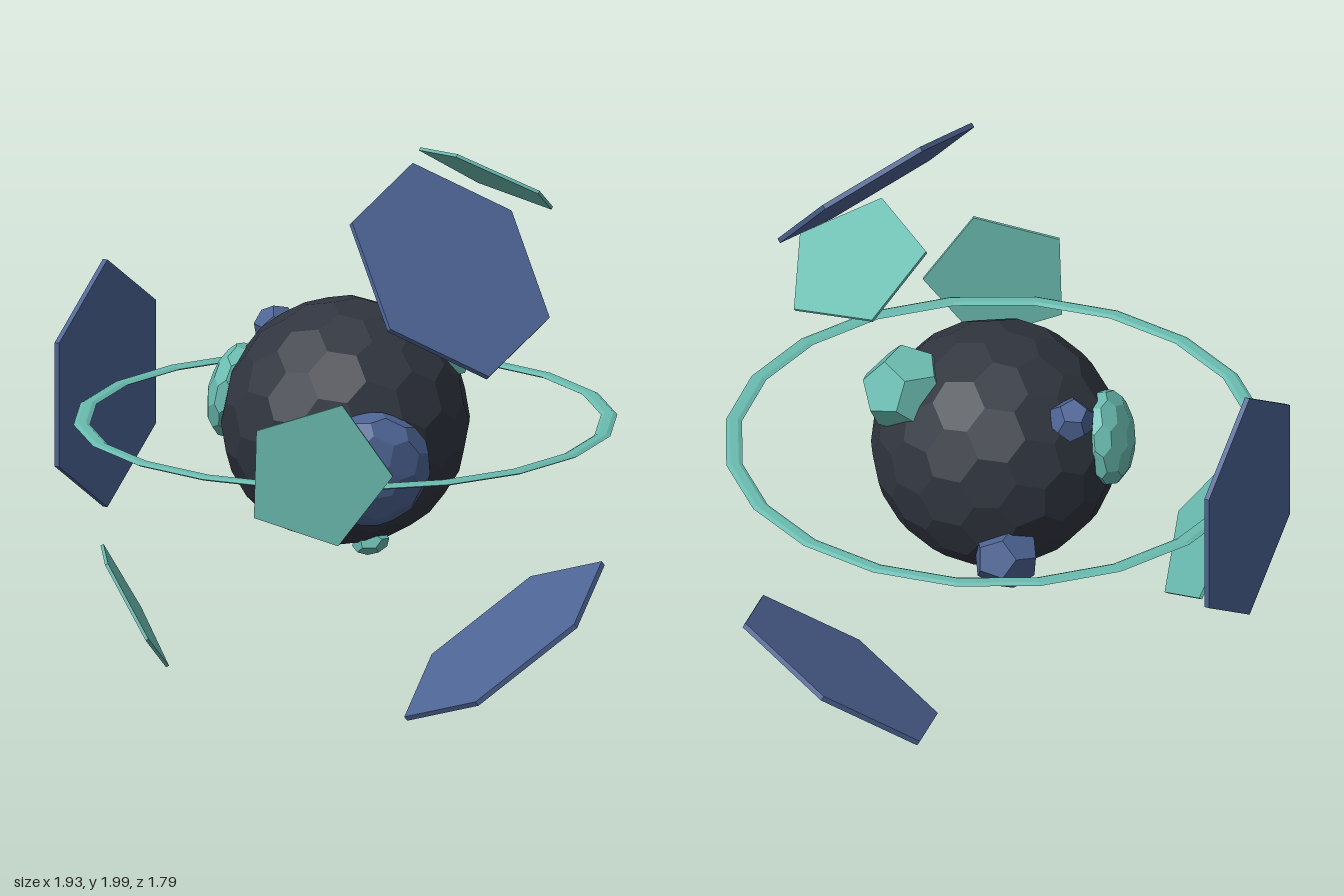
import * as THREE from 'three';
import { ConvexGeometry } from 'three/addons/geometries/ConvexGeometry.js';

const V = (a) => new THREE.Vector3(...a);
const material = (name, color) => {
  const m = new THREE.MeshStandardMaterial({ color, flatShading: true });
  m.name = name;
  return m;
};

// Polyhedron of pentagons and hexagons: the polar dual of a subdivided icosahedron
function facetedBall(radius, detail) {
  const p = new THREE.IcosahedronGeometry(1, detail).getAttribute('position');
  const tri = new THREE.Triangle();
  const points = [];
  for (let i = 0; i < p.count; i += 3) {
    tri.setFromAttributeAndIndices(p, i, i + 1, i + 2);
    const n = tri.getNormal(new THREE.Vector3());
    points.push(n.divideScalar(n.dot(tri.a)));
  }
  const max = Math.max(...points.map((v) => v.length()));
  points.forEach((v) => v.multiplyScalar(radius / max));
  return new ConvexGeometry(points);
}

// Thin polygon plate given by its centre and two neighbouring corners
function plateGeometry(sides, thickness, centre, corner1, corner2) {
  const c = V(centre);
  const angle = (Math.PI * 2) / sides;
  const z = V(corner1).sub(c);
  const x = V(corner2).sub(c).addScaledVector(z, -Math.cos(angle)).divideScalar(Math.sin(angle));
  const y = z.clone().cross(x).normalize();
  const m = new THREE.Matrix4().makeBasis(x, y, z).setPosition(c);
  return new THREE.CylinderGeometry(1, 1, thickness, sides).applyMatrix4(m);
}

export function createModel() {
  const group = new THREE.Group();
  const dark = material('charcoal', 0x30353f);
  const blue = material('slate blue', 0x4d6494);
  const teal = material('teal', 0x6abbb0);
  const centre = V([0.01, 1.04, 0]);

  const add = (name, geometry, mat) => {
    const mesh = new THREE.Mesh(geometry, mat);
    mesh.name = name;
    group.add(mesh);
    return mesh;
  };

  // Core
  add('core', facetedBall(0.41, 2), dark).position.copy(centre);

  // Flat ring around the core
  const ring = add('ring', new THREE.TorusGeometry(0.867, 0.027, 6, 20), teal);
  ring.geometry.rotateX(Math.PI / 2).scale(1, 0.3, 1);
  ring.position.copy(centre);

  // Crystals half sunk in the core: position, radius across, radius outward, detail
  const crystals = [
    ['upperBackCrystal', teal, [0.165, 1.295, -0.265], 0.148, 0.148, 0],
    ['leftCrystal', blue, [0.35, 0.972, 0.175], 0.2, 0.12, 1],
    ['rightCrystal', teal, [-0.31, 1.11, 0.2], 0.162, 0.085, 1],
    ['upperRightCrystal', blue, [-0.34, 1.282, 0], 0.076, 0.076, 0],
    ['lowerBackCrystal', blue, [-0.27, 0.825, -0.235], 0.115, 0.105, 0],
    ['bottomCrystal', teal, [0.15, 0.655, 0.01], 0.063, 0.042, 0],
  ];
  for (const [name, mat, at, across, out, detail] of crystals) {
    const mesh = add(name, facetedBall(1, detail), mat);
    mesh.position.set(...at);
    mesh.quaternion.setFromUnitVectors(V([0, 0, 1]), V(at).sub(centre).normalize());
    mesh.scale.set(across, across, out);
  }

  // Floating hexagon plates
  const hexagons = [
    ['upperHexagonPlate', [0.672, 1.698, 0.113], [0.389, 1.99, 0.037], [0.56, 1.815, -0.243]],
    ['sideHexagonPlate', [-0.854, 1.04, 0.3], [-0.854, 1.46, 0.3], [-0.745, 1.25, 0.6]],
    ['lowerHexagonPlate', [0.256, 0.257, -0.475], [0.405, 0.5, -0.773], [0.616, 0.381, -0.476]],
  ];
  for (const [name, ...pts] of hexagons) add(name, plateGeometry(6, 0.017, ...pts), blue);

  // Floating pentagon plates
  const pentagons = [
    ['upperPentagonPlate', [0.228, 1.832, -0.433], [0.48, 1.832, -0.433], [0.305, 1.956, -0.229]],
    ['sidePentagonPlate', [0.645, 1.095, 0.661], [0.817, 1.095, 0.48], [0.7, 1.333, 0.598]],
    ['lowerPentagonPlate', [-0.262, 0.475, 0.684], [-0.04, 0.423, 0.81], [-0.204, 0.651, 0.845]],
  ];
  for (const [name, ...pts] of pentagons) add(name, plateGeometry(5, 0.011, ...pts), teal);

  return group;
}
